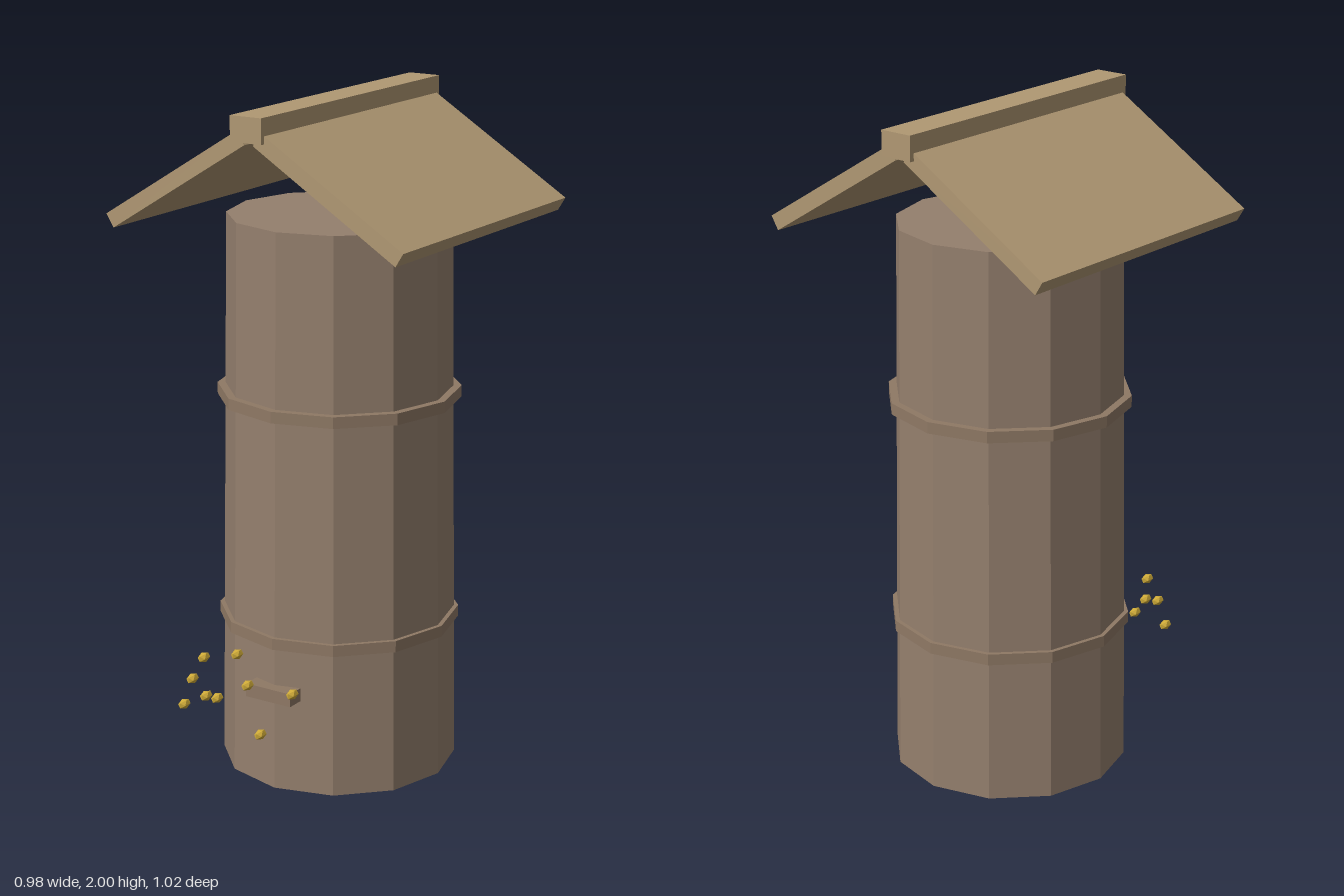
import * as THREE from 'three';

const material = (name, color) => {
  const m = new THREE.MeshStandardMaterial({ color, flatShading: true });
  m.name = name;
  return m;
};

export function createModel() {
  const bark = material('bark', 0x947f6d);
  const hoopWood = material('hoop wood', 0x8f7965);
  const plank = material('roof plank', 0xb09873);
  const gold = material('bee gold', 0xd0ac38);

  const model = new THREE.Group();
  model.name = 'logHive';
  const cz = -0.042; // axis of trunk and roof

  const add = (name, geometry, mat, x, y, z) => {
    const mesh = new THREE.Mesh(geometry, mat);
    mesh.name = name;
    mesh.position.set(x, y, z);
    model.add(mesh);
    return mesh;
  };

  // Twelve-sided tapering trunk
  add('trunk', new THREE.CylinderGeometry(0.326, 0.351, 1.66, 12), bark, -0.002, 0.83, cz);

  // Two hoops around the trunk
  const hoop = new THREE.CylinderGeometry(0.357, 0.357, 0.034, 12);
  add('lowerHoop', hoop, hoopWood, -0.002, 0.453, cz);
  add('upperHoop', hoop, hoopWood, -0.002, 1.135, cz);

  // Landing bar at the entrance, set into the trunk
  add('landingBar', new THREE.BoxGeometry(0.154, 0.04, 0.08), hoopWood, -0.002, 0.303, 0.299);

  // Two sloping roof boards and the ridge beam
  const board = new THREE.BoxGeometry(0.53, 0.045, 0.905);
  for (const side of [-1, 1]) {
    const slope = add(side > 0 ? 'leftRoofBoard' : 'rightRoofBoard', board, plank,
      side * 0.252 - 0.002, 1.8, cz);
    slope.rotation.z = -side * 0.55;
  }
  add('ridgeBeam', new THREE.BoxGeometry(0.102, 0.072, 0.933), plank, -0.002, 1.964, cz);

  // Swarm of small faceted bees, long along z
  const bee = new THREE.IcosahedronGeometry(0.015, 0).scale(1, 1, 1.65);
  const swarm = [
    [-0.152, 0.424, 0.444], [-0.085, 0.424, 0.373], [-0.185, 0.355, 0.456],
    [-0.115, 0.328, 0.487], [-0.115, 0.302, 0.433], [-0.208, 0.275, 0.467],
    [0.008, 0.376, 0.455], [0.14, 0.367, 0.423], [0.042, 0.228, 0.442],
  ];
  swarm.forEach(([x, y, z], i) => add(`bee${i + 1}`, bee, gold, x, y, z));

  return model;
}
